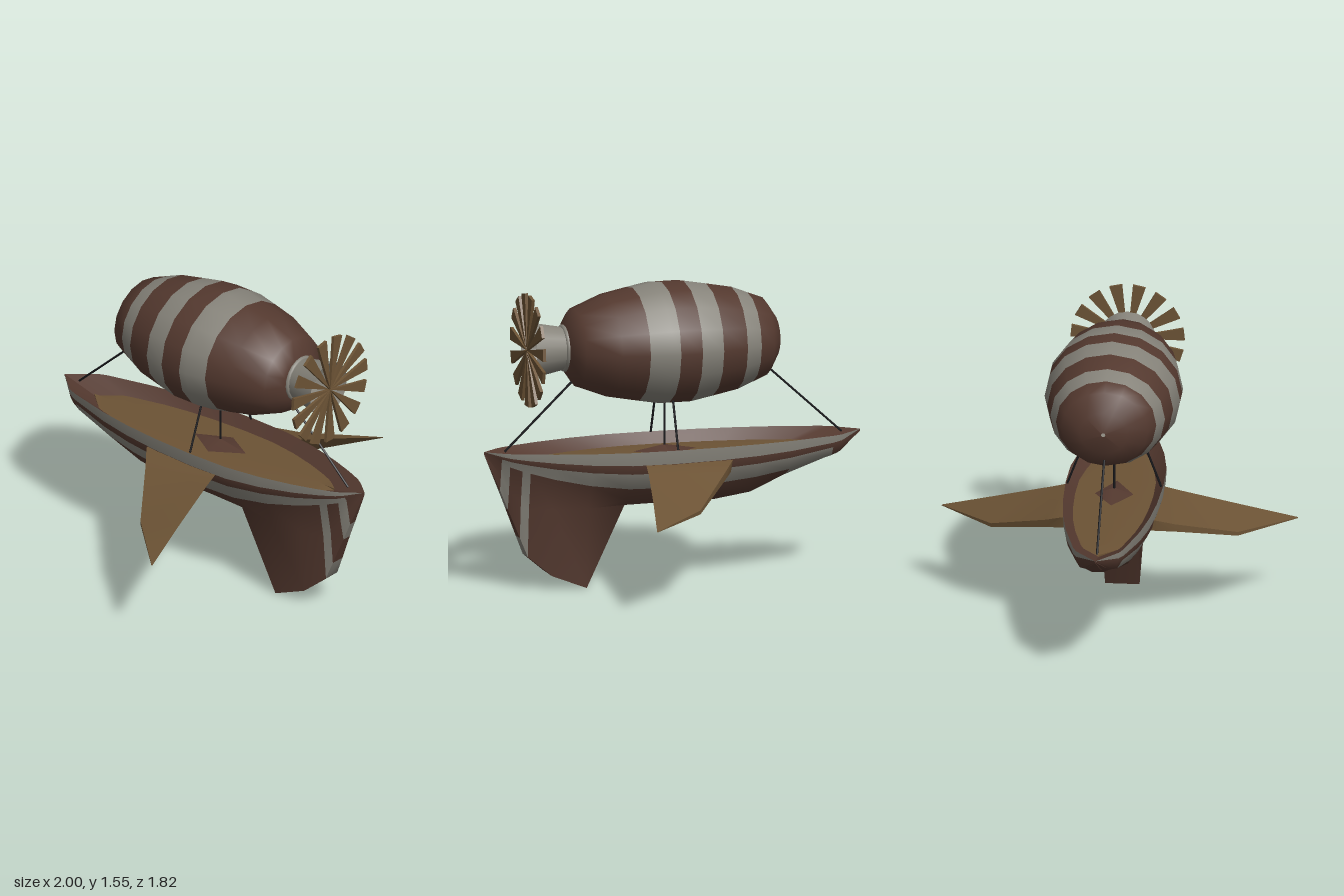
import * as THREE from 'three';
import { toCreasedNormals } from 'three/addons/utils/BufferGeometryUtils.js';

const mat = (name, color, double) => {
  const m = new THREE.MeshStandardMaterial({ color });
  m.name = name;
  if (double) m.side = THREE.DoubleSide;
  return m;
};

// Skin a list of cross-sections (equal point counts); pick(i, j) gives the material index of a quad
function loft(rings, pick = () => 0, flip = false, crease = 0.8) {
  const n = rings[0].length;
  const buckets = [[], [], []];
  for (let i = 0; i < rings.length - 1; i++) {
    for (let j = 0; j < n - 1; j++) {
      const a = i * n + j, b = a + n, c = b + 1, d = a + 1;
      buckets[pick(i, j)].push(...(flip ? [a, c, d, a, b, c] : [a, d, c, a, c, b]));
    }
  }
  const geo = new THREE.BufferGeometry();
  geo.setAttribute('position', new THREE.Float32BufferAttribute(rings.flat(2), 3));
  geo.setIndex(buckets.flat());
  let start = 0;
  buckets.forEach((list, k) => {
    if (list.length) geo.addGroup(start, list.length, k);
    start += list.length;
  });
  return toCreasedNormals(geo, crease);
}

export function createModel() {
  const model = new THREE.Group();
  model.name = 'airship';
  const brown = mat('dark brown', 0x54392f);
  const grey = mat('warm grey', 0x86837a, true);
  const tan = mat('tan wood', 0x6c5335, true);
  const black = mat('rope black', 0x17171a);
  const paint = [brown, grey, tan];
  const add = (name, geo, material, parent = model) => {
    const mesh = new THREE.Mesh(geo, material);
    mesh.name = name;
    parent.add(mesh);
    return mesh;
  };

  // Balloon: elliptical rings along x, [x, radius, colour of the band that follows]
  const CY = 1.235;
  const balloon = [
    [-0.56, 0.01, 0], [-0.54, 0.11, 0], [-0.48, 0.2, 0], [-0.4, 0.231, 1], [-0.315, 0.264, 0],
    [-0.18, 0.29, 1], [-0.06, 0.312, 0], [0.055, 0.312, 1], [0.1, 0.312, 1], [0.21, 0.292, 0],
    [0.35, 0.265, 0], [0.52, 0.2, 0], [0.575, 0.12, 0], [0.585, 0.01, 0],
  ];
  const sides = 16;
  const balloonRings = balloon.map(([x, r]) => Array.from({ length: sides + 1 }, (_, k) => {
    const a = (k / sides) * Math.PI * 2;
    return [x, CY + r * Math.cos(a), 1.11 * r * Math.sin(a)];
  }));
  add('balloon', loft(balloonRings, (i) => balloon[i][2], false, 1.0), paint);

  // Open engine nozzle with a collar
  const nozzle = add('engineNozzle', new THREE.CylinderGeometry(0.145, 0.11, 0.175, 20, 1, true), grey);
  nozzle.rotation.z = -Math.PI / 2;
  nozzle.position.set(0.672, CY, 0);
  const collar = add('nozzleCollar', new THREE.TorusGeometry(0.108, 0.014, 8, 20), grey);
  collar.rotation.y = Math.PI / 2;
  collar.position.set(0.578, CY, 0);

  // Propeller of thin wedge blades, one pointing straight down
  const propeller = new THREE.Group();
  propeller.name = 'propeller';
  const bladeShape = new THREE.Shape([[0, 0], [0.033, -0.29], [-0.033, -0.29]]
    .reverse().map(([x, y]) => new THREE.Vector2(x, y)));
  const bladeGeo = new THREE.ExtrudeGeometry(bladeShape, { depth: 0.016, bevelEnabled: false });
  for (let k = 0; k < 15; k++) {
    add('blade', bladeGeo, tan, propeller).rotation.z = (k / 15) * Math.PI * 2;
  }
  propeller.rotation.y = Math.PI / 2;
  propeller.position.set(0.757, CY, 0);
  model.add(propeller);

  // Hull stations: [x, half width at rim, chine y, chine half width, bottom y, bottom half width]
  const RIM = 0.72;
  const stations = [
    [-1, 0, 0.715, 0, 0.71, 0],
    [-0.87, 0.11, 0.625, 0.06, 0.61, 0.03],
    [-0.82, 0.13, 0.61, 0.075, 0.595, 0.03],
    [-0.58, 0.19, 0.535, 0.09, 0.515, 0.04],
    [-0.4, 0.22, 0.47, 0.11, 0.44, 0.05],
    [-0.2, 0.24, 0.45, 0.12, 0.42, 0.08],
    [0.05, 0.25, 0.45, 0.12, 0.42, 0.08],
    [0.28, 0.245, 0.45, 0.12, 0.42, 0.09],
    [0.48, 0.215, 0.42, 0.12, 0, 0.088],
    [0.66, 0.17, 0.42, 0.1, 0.07, 0.075],
    [0.78, 0.13, 0.42, 0.065, 0.17, 0.045],
    [0.82, 0.115, 0.46, 0.055, 0.27, 0.038],
    [0.88, 0.09, 0.52, 0.045, 0.42, 0.025],
    [0.92, 0.065, 0.6, 0.035, 0.52, 0.02],
    [1, 0, 0.715, 0, 0.71, 0],
  ];
  const hullRings = stations.map(([x, w, cy, cw, by, bw]) => {
    const half = [
      [x, RIM, w], [x, RIM - 0.28 * w, 0.985 * w], [x, RIM - 0.47 * w, 0.94 * w],
      [x, RIM - 0.82 * w, 0.74 * w], [x, cy, cw], [x, by, bw],
    ];
    return [...half, ...half.map(([px, y, z]) => [px, y, -z]).reverse()];
  });
  // Grey rim and waist stripes, a grey bow band and two grey stern stripes on brown
  const hullColour = (i, j) => {
    const row = Math.min(j, 10 - j);
    if (row === 0) return 1;
    if (row === 1) return 0;
    if (row === 2) return i > 1 && i < 13 ? 1 : 0;
    return i === 2 || i === 10 || i === 12 ? 1 : 0;
  };
  add('hull', loft(hullRings, hullColour, false, 0.9), paint);

  // Sunken deck: brown inner walls and tan floor
  const deckRings = stations.map(([x, w]) => [
    [x, RIM, -w], [0.8 * x, 0.665, -0.8 * w], [0.8 * x, 0.675, 0],
    [0.8 * x, 0.665, 0.8 * w], [x, RIM, w],
  ]);
  add('deck', loft(deckRings, (i, j) => (j === 1 || j === 2 ? 2 : 0), false, 0.3), paint);
  const hatch = add('deckHatch', new THREE.ConeGeometry(1, 0.035, 4), brown);
  hatch.scale.set(0.2, 1, 0.1);
  hatch.position.set(0.04, 0.687, 0);

  // Swept wings: sections from root to tip
  for (const s of [1, -1]) {
    const section = (z, pts) => [...pts, pts[0]].map(([x, y]) => [x, y, s * z]);
    const wing = [
      section(0.17, [[-0.26, 0.655], [-0.26, 0.6], [0.1, 0.53], [0.21, 0.655]]),
      section(0.24, [[-0.25, 0.65], [-0.24, 0.59], [0.1, 0.525], [0.21, 0.652]]),
      section(0.33, [[-0.18, 0.605], [-0.18, 0.565], [0.13, 0.5], [0.225, 0.625]]),
      section(0.63, [[0.04, 0.485], [0.04, 0.465], [0.21, 0.455], [0.29, 0.535]]),
      section(0.91, [[0.35, 0.45], [0.35, 0.447], [0.353, 0.447], [0.356, 0.45]]),
    ];
    add(s > 0 ? 'frontWing' : 'backWing', loft(wing, () => 0, s < 0, 0.5), tan);
  }

  // Ropes between hull and balloon
  const ropes = [
    [[-0.9, 0.715, 0], [-0.5, 1.08, 0]],
    [[0.89, 0.715, 0], [0.52, 1.07, 0]],
    [[0.04, 0.67, 0], [0.04, 0.95, 0]],
    [[0.04, 0.72, 0.24], [0.04, 0.96, 0.15]],
    [[0.04, 0.72, -0.24], [0.04, 0.96, -0.15]],
  ];
  for (const [a, b] of ropes) {
    const path = new THREE.LineCurve3(new THREE.Vector3(...a), new THREE.Vector3(...b));
    add('rope', new THREE.TubeGeometry(path, 1, 0.006, 6), black);
  }
  return model;
}
